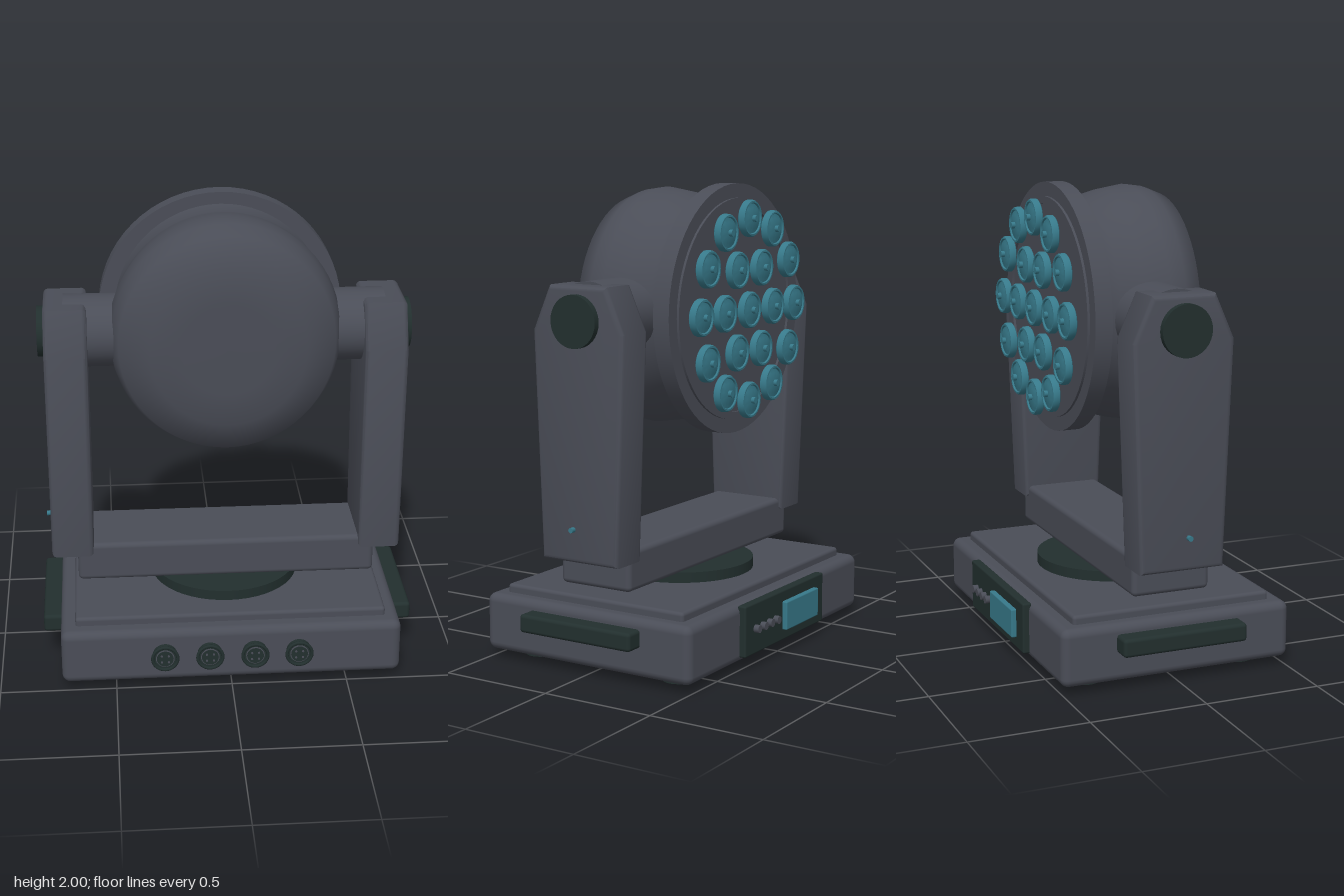
import * as THREE from 'three';
import { toCreasedNormals } from 'three/addons/utils/BufferGeometryUtils.js';
import { RoundedBoxGeometry } from 'three/addons/geometries/RoundedBoxGeometry.js';

export function createModel() {
  const model = new THREE.Group();
  const material = (name, color) => {
    const m = new THREE.MeshStandardMaterial({ color });
    m.name = name;
    return m;
  };
  const grey = material('housing grey', 0x4a4d57);
  const dark = material('dark trim', 0x222f2e);
  const teal = material('lens teal', 0x37798a);

  const add = (name, geometry, mat, x = 0, y = 0, z = 0, parent = model) => {
    const mesh = new THREE.Mesh(geometry, mat);
    mesh.name = name;
    mesh.position.set(x, y, z);
    parent.add(mesh);
    return mesh;
  };
  const box = (w, h, d, r) => new RoundedBoxGeometry(w, h, d, 3, r);
  const cylX = (r, len, n = 32) => new THREE.CylinderGeometry(r, r, len, n).rotateZ(Math.PI / 2);
  const cylZ = (r, len, n = 32) => new THREE.CylinderGeometry(r, r, len, n).rotateX(Math.PI / 2);
  // Profile of [radius, z] pairs, z rising, turned around the z axis
  const latheZ = (points, n) => new THREE.LatheGeometry(
    points.map(([r, z]) => new THREE.Vector2(r, z)), n).rotateX(Math.PI / 2);

  // Base
  add('base', box(1.465, 0.245, 1.02, 0.035), grey, 0, 0.158, 0);
  add('basePlate', box(1.34, 0.08, 0.88, 0.015), grey, 0, 0.277, 0);
  add('turntable', new THREE.CylinderGeometry(0.325, 0.325, 0.05, 48), dark, 0, 0.337, 0);
  for (const x of [-0.56, 0.56]) for (const z of [-0.35, 0.35]) {
    add('foot', new THREE.CylinderGeometry(0.068, 0.068, 0.05, 24), dark, x, 0.025, z);
  }

  // Front sockets
  for (const x of [-0.29, -0.097, 0.097, 0.287]) {
    const socket = new THREE.Group();
    socket.name = 'socket';
    socket.position.set(x, 0.165, 0.5);
    add('socketBarrel', cylZ(0.053, 0.08), dark, 0, 0, 0, socket);
    add('socketRim', new THREE.TorusGeometry(0.054, 0.007, 8, 32), dark, 0, 0, 0.043, socket);
    add('socketFace', cylZ(0.04, 0.006), grey, 0, 0, 0.04, socket);
    add('socketInsert', cylZ(0.036, 0.006), dark, 0, 0, 0.043, socket);
    for (let i = 0; i < 4; i++) {
      const a = Math.PI / 4 + i * Math.PI / 2;
      add('socketPin', cylZ(0.005, 0.008, 8), grey, 0.021 * Math.cos(a), 0.021 * Math.sin(a), 0.045, socket);
    }
    model.add(socket);
  }

  // Rear control panel
  add('controlPanel', box(0.68, 0.22, 0.04, 0.008), dark, 0, 0.17, -0.518);
  add('display', box(0.285, 0.125, 0.03, 0.006), teal, -0.115, 0.17, -0.545);
  for (let i = 0; i < 4; i++) {
    add('button', cylZ(0.017, 0.03, 16), grey, 0.093 + i * 0.055, 0.17, -0.546);
  }

  // Yoke
  add('yokeBeam', box(1.305, 0.175, 0.345, 0.022), grey, 0, 0.443, 0);
  const inset = 0.02;
  const armProfile = new THREE.Shape([
    [-0.185 + inset, 0.48 + inset], [0.185 - inset, 0.48 + inset],
    [0.22 - inset, 1.42], [0.145 - inset, 1.61 - inset],
    [-0.145 + inset, 1.61 - inset], [-0.22 + inset, 1.42],
  ].map(([z, y]) => new THREE.Vector2(z, y)));
  const armGeometry = toCreasedNormals(new THREE.ExtrudeGeometry(armProfile, {
    depth: 0.183 - 2 * inset, bevelSize: inset, bevelThickness: inset, bevelSegments: 3,
  }).translate(0, 0, -0.183 / 2 + inset).rotateY(-Math.PI / 2), 0.6);

  // Parts repeated on both sides
  for (const s of [-1, 1]) {
    add('yokeArm', armGeometry, grey, s * 0.673, 0, 0);
    add('tiltKnob', cylX(0.108, 0.04), dark, s * 0.772, 1.47, 0);
    add('tiltPivot', cylX(0.153, 0.28), grey, s * 0.54, 1.47, 0).scale.z = 1.1;
    add('statusLight', cylX(0.011, 0.03, 12), teal, s * 0.77, 0.62, 0.025);
    add('handle', box(0.1, 0.078, 0.55, 0.015), dark, s * 0.76, 0.2, 0);
  }

  // Head
  const head = new THREE.Group();
  head.name = 'head';
  head.position.y = 1.47;
  model.add(head);
  const shell = latheZ([
    [0.48, -0.22], [0.465, -0.14], [0.492, -0.04], [0.51, 0.07], [0.5, 0.14],
    [0.47, 0.215], [0.34, 0.275], [0.2, 0.279], [0, 0.28],
  ], 64);
  add('headShell', shell, grey, 0, 0, 0, head).scale.x = 0.965;
  add('headFlange', cylZ(0.53, 0.075, 64), grey, 0, 0, -0.247, head);
  const rim = latheZ([[0.44, -0.28], [0.44, -0.295], [0.47, -0.295], [0.47, -0.28]], 64);
  add('faceRim', toCreasedNormals(rim, 0.6), grey, 0, 0, 0, head);

  // Lens cluster: centre, six inner and twelve outer
  const lensGeometry = toCreasedNormals(latheZ([
    [0, -0.368], [0.045, -0.366], [0.062, -0.36], [0.066, -0.366], [0.073, -0.366],
    [0.078, -0.358], [0.078, -0.338], [0.073, -0.334], [0, -0.334],
  ], 28), 0.6);
  const nubGeometry = cylZ(0.014, 0.02, 12);
  for (const [count, radius] of [[1, 0], [6, 0.2], [12, 0.385]]) {
    for (let i = 0; i < count; i++) {
      const a = i * 2 * Math.PI / count;
      const x = radius * Math.cos(a), y = radius * Math.sin(a);
      add('lens', lensGeometry, teal, x, y, 0, head);
      add('lensNub', nubGeometry, teal, x, y, -0.373, head);
    }
  }
  return model;
}
